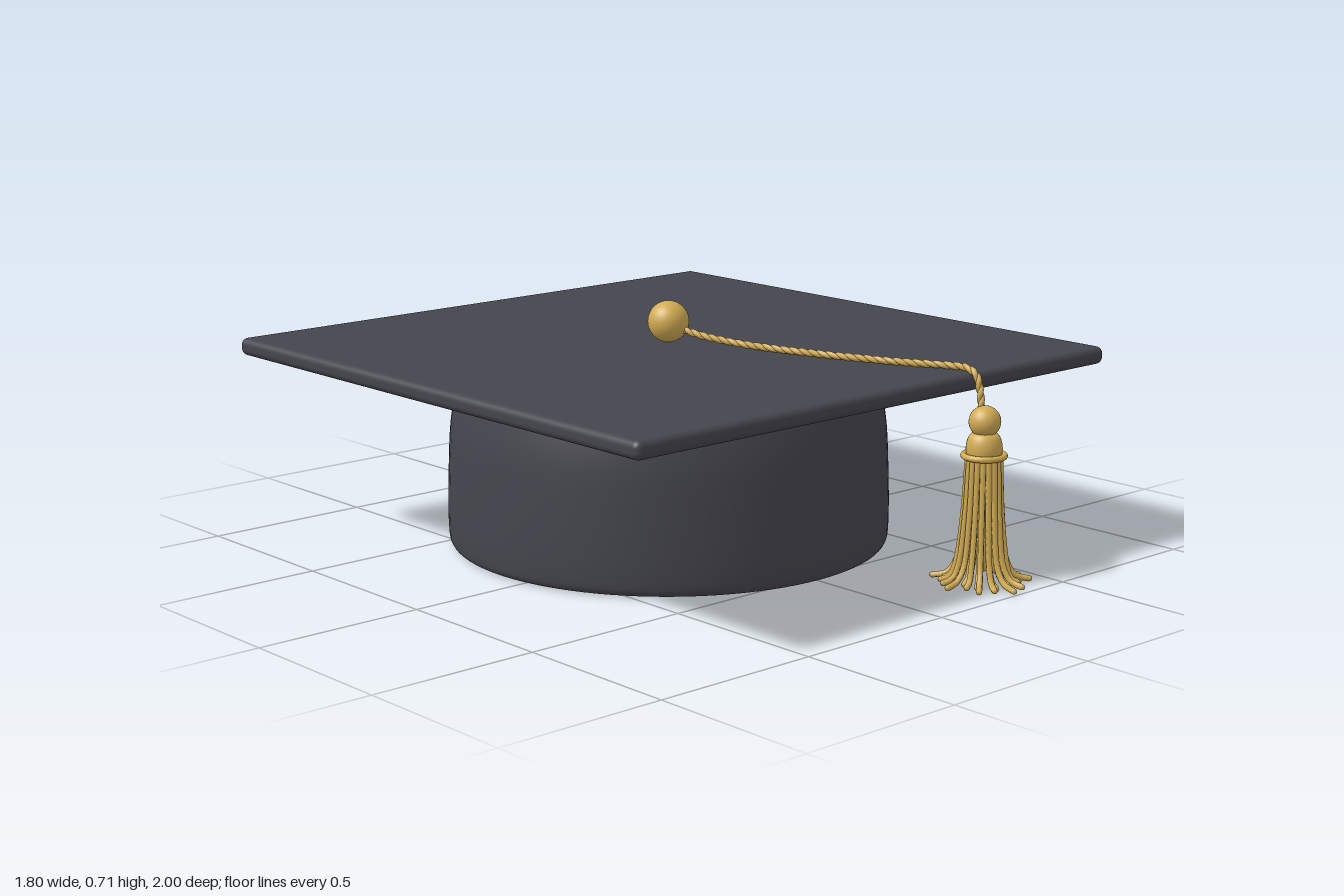
import * as THREE from 'three';
import { RoundedBoxGeometry } from 'three/addons/geometries/RoundedBoxGeometry.js';

const v = (x, y, z) => new THREE.Vector3(x, y, z);
const profile = (points) => points.map(([x, y]) => new THREE.Vector2(x, y));

export function createModel() {
  const cloth = new THREE.MeshStandardMaterial({ color: 0x45454e, side: THREE.DoubleSide });
  cloth.name = 'charcoal cloth';
  const gold = new THREE.MeshStandardMaterial({ color: 0xd2ac54 });
  gold.name = 'gold thread';

  const model = new THREE.Group();
  model.name = 'graduationCap';
  const add = (name, geometry, material, parent, x = 0, y = 0, z = 0) => {
    const mesh = new THREE.Mesh(geometry, material);
    mesh.name = name;
    mesh.position.set(x, y, z);
    parent.add(mesh);
    return mesh;
  };

  // Square board
  add('board', new RoundedBoxGeometry(1.8, 0.052, 1.8, 5, 0.021), cloth, model, 0, 0.567, -0.1);

  // Skullcap: one thin open shell, curled in at the hem and closed by the board
  const section = new THREE.SplineCurve(profile([
    [0.622, 0.014], [0.627, 0.007], [0.635, 0.006], [0.645, 0.014], [0.651, 0.035], [0.653, 0.1],
    [0.65, 0.22], [0.643, 0.35], [0.629, 0.44], [0.611, 0.505], [0.592, 0.545],
  ]));
  add('skullcap', new THREE.LatheGeometry(section.getPoints(60), 96), cloth, model, 0, 0, -0.1);

  // Centre button
  add('button', new THREE.SphereGeometry(0.061, 32, 24), gold, model, 0, 0.655, -0.1);

  // Twisted cord: two strands winding closely around one path
  const path = new THREE.CatmullRomCurve3([
    v(0.01, 0.64, -0.075), v(0.04, 0.622, 0), v(0.09, 0.608, 0.13), v(0.15, 0.604, 0.31),
    v(0.21, 0.604, 0.48), v(0.27, 0.604, 0.62), v(0.322, 0.605, 0.725), v(0.33, 0.605, 0.77),
    v(0.33, 0.592, 0.806), v(0.33, 0.555, 0.823), v(0.33, 0.49, 0.832),
  ]);
  const steps = 240;
  const frames = path.computeFrenetFrames(steps, false);
  const cord = new THREE.Group();
  cord.name = 'cord';
  model.add(cord);
  for (const phase of [0, Math.PI]) {
    const points = [];
    for (let i = 0; i <= steps; i++) {
      const a = phase + (i / steps) * Math.PI * 2 * 18;
      points.push(path.getPointAt(i / steps)
        .addScaledVector(frames.normals[i], Math.cos(a) * 0.003)
        .addScaledVector(frames.binormals[i], Math.sin(a) * 0.003));
    }
    add('cordStrand', new THREE.TubeGeometry(new THREE.CatmullRomCurve3(points), 360, 0.0082, 8), gold, cord);
  }

  // Tassel head: knot, bulging cap and binding ring
  const tassel = new THREE.Group();
  tassel.name = 'tassel';
  tassel.position.set(0.33, 0, 0.845);
  model.add(tassel);
  add('tasselKnot', new THREE.SphereGeometry(0.045, 24, 18), gold, tassel, 0, 0.464, 0);
  const capProfile = new THREE.SplineCurve(profile([
    [0.045, 0.36], [0.05, 0.375], [0.051, 0.392], [0.048, 0.41], [0.041, 0.425], [0.028, 0.434], [0, 0.436],
  ]));
  add('tasselCap', new THREE.LatheGeometry(capProfile.getPoints(24), 28), gold, tassel);
  const ring = add('tasselRing', new THREE.TorusGeometry(0.057, 0.009, 10, 32), gold, tassel, 0, 0.368, 0);
  ring.rotation.x = Math.PI / 2;
  add('tasselCore', new THREE.CylinderGeometry(0.036, 0.042, 0.24, 16), gold, tassel, 0, 0.25, 0);

  // Fringe threads, flaring out where they meet the ground
  const fringe = (count, top, middle, low, tipAt, offset) => {
    for (let i = 0; i < count; i++) {
      const a = offset + (i / count) * Math.PI * 2;
      const tip = tipAt(i);
      const at = (r, y) => v(Math.sin(a) * r, y, Math.cos(a) * r);
      const curve = new THREE.CatmullRomCurve3([
        at(top, 0.365), at(middle, 0.2), at(low, 0.06), at(low * 0.6 + tip * 0.4, 0.022), at(tip, 0.012),
      ]);
      add('fringeThread', new THREE.TubeGeometry(curve, 20, 0.0088, 6), gold, tassel);
      add('threadTip', new THREE.SphereGeometry(0.0088, 6, 4), gold, tassel, ...at(tip, 0.012).toArray());
    }
  };
  fringe(18, 0.045, 0.054, 0.072, (i) => (i === 0 ? 0.148 : 0.122 + 0.018 * Math.sin(i * 2.4)), -0.18);
  fringe(12, 0.032, 0.041, 0.054, (i) => 0.092 + 0.014 * Math.sin(i * 1.9), 0.1);

  return model;
}
